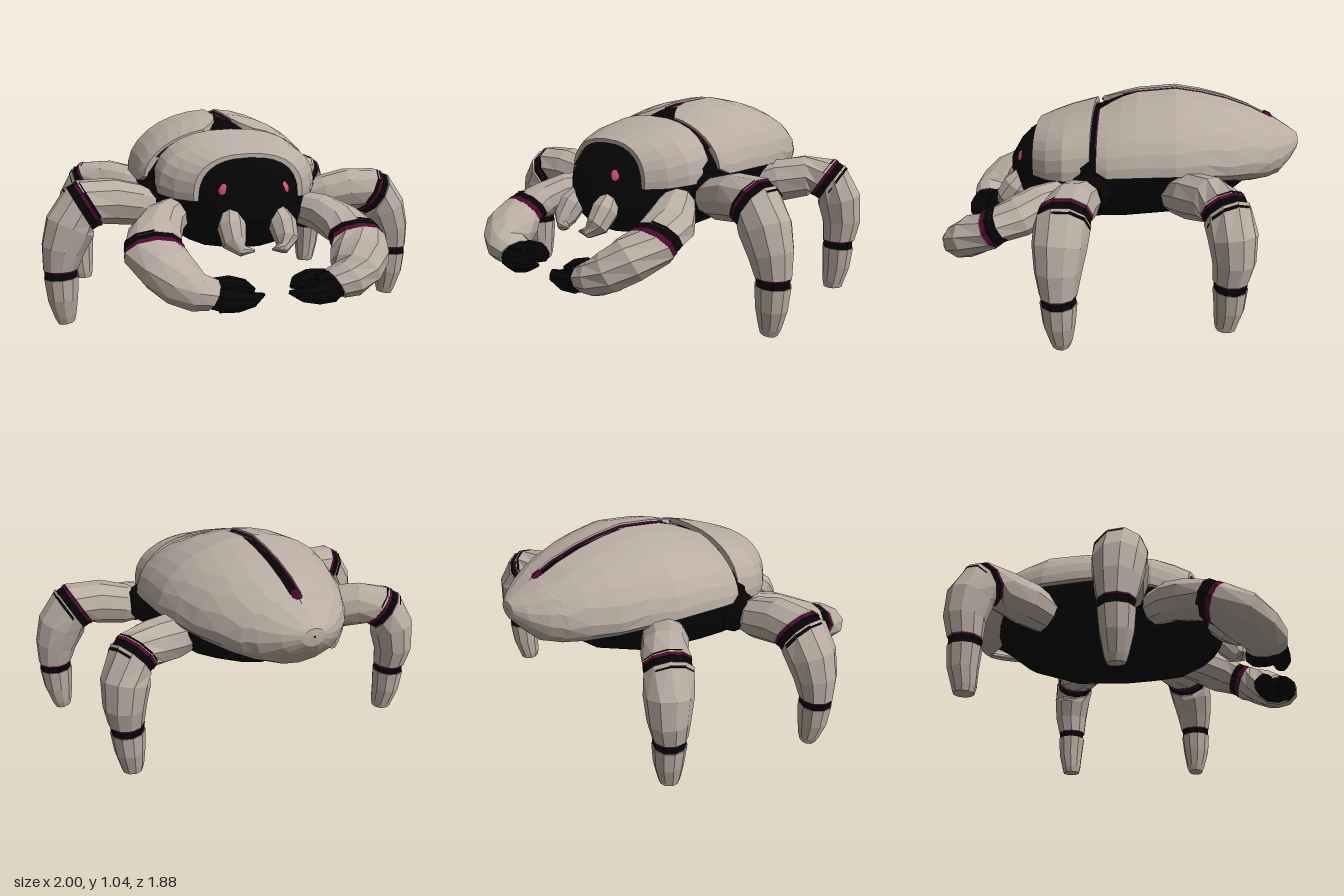
import * as THREE from 'three';

const mat = (name, color) => {
  const m = new THREE.MeshStandardMaterial({ color });
  m.name = name;
  return m;
};
const V = (a) => new THREE.Vector3(...a);

// Faceted solid from rings of equal length, capped at both ends
function loft(rings) {
  const tris = [], n = rings[0].length;
  const quad = (a, b, c, d) => tris.push(a, b, c, a, c, d);
  for (let k = 0; k < rings.length - 1; k++)
    for (let i = 0; i < n; i++) {
      const j = (i + 1) % n;
      quad(rings[k][i], rings[k][j], rings[k + 1][j], rings[k + 1][i]);
    }
  const first = rings[0], last = rings[rings.length - 1];
  for (let i = 0; i < n / 2 - 1; i++) {
    quad(first[i], first[n - 1 - i], first[n - 2 - i], first[i + 1]);
    quad(last[i], last[i + 1], last[n - 2 - i], last[n - 1 - i]);
  }
  // Turn the faces outward if the volume is negative
  let volume = 0;
  for (let i = 0; i < tris.length; i += 3)
    volume += tris[i].dot(tris[i + 1].clone().cross(tris[i + 2]));
  if (volume < 0) tris.reverse();
  const g = new THREE.BufferGeometry().setFromPoints(tris);
  g.computeVertexNormals();
  return g;
}

// Limb along points [x, y, z, radius, second radius]; start and end tilt the cut faces
function limbGeometry(pts, ref, start, end, sides = 10) {
  const p = pts.map((a) => V(a.slice(0, 3))), last = p.length - 1;
  return loft(p.map((c, k) => {
    const t = p[Math.min(k + 1, last)].clone().sub(p[Math.max(k - 1, 0)]);
    if (k === 0 && start) t.copy(V(start));
    if (k === last && end) t.copy(V(end));
    t.normalize();
    const u = V(ref).cross(t).normalize(), v = t.clone().cross(u);
    const [, , , ru, rv = ru] = pts[k];
    return Array.from({ length: sides }, (_, i) => {
      const a = ((i + 0.5) / sides) * Math.PI * 2;
      return c.clone().addScaledVector(u, Math.cos(a) * ru).addScaledVector(v, Math.sin(a) * rv);
    });
  }));
}

// Point of an egg-shaped cross-section, angle measured from the top; pow < 1 squares it off
function eggPoint([z, w, yt, ym, yb], t, s, k, pow) {
  const c = Math.cos(t), f = (v) => Math.sign(v) * Math.abs(v) ** pow;
  return V([s * w * f(Math.sin(t)) * k, ym + (c > 0 ? yt - ym : ym - yb) * f(c) * k, z]);
}

// Half of a curved plate; sections are [z, halfWidth, top, middle, bottom, gap, endDegrees]
function plateGeometry(sections, s, pow = 1, outer = 1, inner = 0.9, steps = 9) {
  return loft(sections.map((sec) => {
    const t0 = Math.asin(sec[5] / sec[1]), t1 = sec[6] * Math.PI / 180;
    const arc = (k) => Array.from({ length: steps }, (_, i) =>
      eggPoint(sec, t0 + (t1 - t0) * i / (steps - 1), s, k, pow));
    return [...arc(outer), ...arc(inner).reverse()];
  }));
}

export function createModel() {
  const root = new THREE.Group();
  const shell = mat('warm grey shell', 0xb9ada2);
  const black = mat('black body', 0x050505);
  const wine = mat('dark wine trim', 0x500830);
  const red = mat('rose eye', 0xd8506a);
  const add = (name, geo, m, parent = root) => {
    const mesh = new THREE.Mesh(geo, m);
    mesh.name = name;
    parent.add(mesh);
    return mesh;
  };

  // Black body and head: [z, halfWidth, top, middle, bottom]
  const body = [
    [-0.79, 0.14, 0.84, 0.72, 0.62], [-0.7, 0.22, 0.9, 0.71, 0.57], [-0.55, 0.36, 0.96, 0.7, 0.45],
    [-0.3, 0.45, 1.005, 0.69, 0.36], [0, 0.46, 0.975, 0.66, 0.33], [0.15, 0.46, 0.91, 0.63, 0.33],
    [0.3, 0.38, 0.865, 0.62, 0.34], [0.45, 0.27, 0.825, 0.61, 0.37], [0.51, 0.225, 0.785, 0.6, 0.41],
    [0.56, 0.165, 0.735, 0.6, 0.46], [0.61, 0.06, 0.65, 0.6, 0.54],
  ];
  add('body', loft(body.map((sec) => Array.from({ length: 22 }, (_, i) =>
    eggPoint(sec, (i + 0.5) / 11 * Math.PI, 1, 1, sec[0] > 0.2 ? 0.8 : 1)))), black);

  // Wing cases, closed at the tail and parted by a groove
  const wing = [
    [-0.947, 0.004, 0.752, 0.748, 0.744, 0, 180], [-0.942, 0.06, 0.785, 0.745, 0.7, 0, 180],
    [-0.9, 0.14, 0.815, 0.73, 0.645, 0, 180],
    [-0.83, 0.225, 0.86, 0.71, 0.57, 0, 180], [-0.795, 0.255, 0.88, 0.71, 0.56, 0.002, 180],
    [-0.77, 0.28, 0.89, 0.705, 0.555, 0.028, 178], [-0.68, 0.34, 0.935, 0.7, 0.55, 0.03, 165],
    [-0.55, 0.405, 0.98, 0.7, 0.56, 0.03, 135], [-0.42, 0.45, 1.01, 0.7, 0.58, 0.03, 108],
    [-0.28, 0.487, 1.03, 0.7, 0.6, 0.03, 95], [-0.08, 0.492, 1.01, 0.69, 0.6, 0.032, 93],
    [0.0, 0.49, 0.99, 0.685, 0.6, 0.05, 93], [0.06, 0.485, 0.97, 0.68, 0.6, 0.09, 92],
    [0.115, 0.465, 0.955, 0.68, 0.6, 0.14, 85],
  ];
  const trim = [0.115, 0.124].map((z) => [z, 0.465, 0.955, 0.68, 0.6, 0.14, 62]);
  const grooveEdge = wing.slice(5, 12).map(([z, , yt, , , gap]) => [gap - 0.003, yt - 0.016, z, 0.007]);
  // Front plate over the head
  const hood = [
    [0.15, 0.425, 0.945, 0.66, 0.55, 0, 98], [0.29, 0.42, 0.905, 0.655, 0.55, 0, 98],
    [0.38, 0.365, 0.875, 0.645, 0.55, 0, 100], [0.46, 0.285, 0.845, 0.64, 0.55, 0, 100],
  ];
  add('grooveTip', limbGeometry([[0, 0.86, -0.797, 0.02], [0, 0.868, -0.78, 0.03],
    [0, 0.885, -0.75, 0.026]], [1, 0, 0]), wine);

  for (const s of [1, -1]) {
    const side = new THREE.Group();
    side.name = s > 0 ? 'leftSide' : 'rightSide';
    root.add(side);
    const flip = (a) => a && [a[0] * s, ...a.slice(1)];
    const limb = (name, pts, m, { ref = [0, 0, 1], start, end, sides } = {}) =>
      add(name, limbGeometry(pts.map(flip), ref, flip(start), flip(end), sides), m, side);
    // Joint: black collar with a wine ring from offset w0 to w1, across direction d
    const joint = (name, p, d, r, w0, w1, rv = r, ref) => {
      const dir = V(d).normalize();
      const at = (k, q) => [...V(p).addScaledVector(dir, k).toArray(), r * q, rv * q];
      limb(name, [at(-0.045, 0.95), at(0.045, 0.96)], black, { ref });
      limb(name + 'Trim', [at(w0, 0.99), at(w1, 0.99)], wine, { ref });
    };

    add('wingCase', plateGeometry(wing, s), shell, side);
    add('wingCaseTrim', plateGeometry(trim, s, 1, 0.965, 0.93), wine, side);
    limb('grooveTrim', grooveEdge, wine, { ref: [1, 0, 0], sides: 6 });
    add('hoodPlate', plateGeometry(hood, s, 0.82), shell, side);

    // Eye and fang
    const eye = add('eye', new THREE.SphereGeometry(0.034, 10, 8), red, side);
    eye.position.set(0.155 * s, 0.68, 0.537);
    eye.scale.set(0.97, 1.08, 0.45);
    eye.lookAt(eye.position.clone().add(V([0.5 * s, 0.3, 0.8])));
    limb('fang', [[0.115, 0.575, 0.53, 0.045], [0.13, 0.51, 0.585, 0.07], [0.13, 0.445, 0.635, 0.06],
      [0.1, 0.41, 0.67, 0.03], [0.045, 0.41, 0.68, 0.006]], shell, { ref: [1, 0, 0], sides: 8 });

    // Middle leg
    const knee = [0.87, -0.49, 0], down = [0, -1, 0];
    limb('middleHip', [[0.36, 0.58, 0.14, 0.12], [0.44, 0.59, 0.14, 0.11], [0.5, 0.59, 0.15, 0.07]], black);
    limb('middleThigh', [[0.44, 0.56, 0.18, 0.08], [0.52, 0.575, 0.19, 0.108], [0.65, 0.6, 0.215, 0.118],
      [0.762, 0.603, 0.23, 0.128]], shell, { end: knee });
    joint('middleKnee', [0.79, 0.585, 0.235], knee, 0.13, -0.031, -0.015);
    limb('middleShin', [[0.81, 0.573, 0.24, 0.132], [0.86, 0.49, 0.25, 0.127], [0.9, 0.38, 0.255, 0.108],
      [0.915, 0.28, 0.255, 0.088]], shell, { start: knee, end: down });
    joint('middleAnkle', [0.915, 0.255, 0.255], down, 0.086, -0.026, -0.018);
    limb('middleFoot', [[0.914, 0.237, 0.255, 0.087], [0.91, 0.13, 0.255, 0.077], [0.9, 0.035, 0.25, 0.055],
      [0.895, 0, 0.25, 0.042]], shell);

    // Back leg
    const backKnee = [0.75, -0.55, -0.35];
    limb('backThigh', [[0.37, 0.56, -0.29, 0.1], [0.47, 0.59, -0.36, 0.118], [0.59, 0.62, -0.45, 0.112],
      [0.672, 0.617, -0.495, 0.115]], shell, { end: backKnee });
    joint('backKnee', [0.695, 0.6, -0.507], backKnee, 0.117, -0.031, -0.015);
    limb('backShin', [[0.71, 0.588, -0.515, 0.12], [0.745, 0.5, -0.54, 0.117], [0.76, 0.38, -0.55, 0.102],
      [0.755, 0.28, -0.54, 0.085]], shell, { start: backKnee, end: down });
    joint('backAnkle', [0.75, 0.255, -0.54], down, 0.083, -0.026, -0.018);
    limb('backFoot', [[0.75, 0.237, -0.54, 0.084], [0.745, 0.13, -0.54, 0.074], [0.735, 0.04, -0.53, 0.058],
      [0.735, 0.01, -0.53, 0.05]], shell);

    // Arm with pincer
    const ref = [0, 1, 0], elbow = [0, -0.5, 0.85], wrist = [-0.85, -0.45, 0];
    limb('upperArm', [[0.35, 0.53, 0.3, 0.09], [0.425, 0.515, 0.4, 0.11, 0.1], [0.485, 0.475, 0.5, 0.132, 0.1],
      [0.51, 0.445, 0.59, 0.14, 0.09]], shell, { ref, end: elbow });
    joint('elbow', [0.513, 0.43, 0.615], elbow, 0.146, 0.004, 0.03, 0.094, ref);
    limb('forearm', [[0.513, 0.413, 0.642, 0.148, 0.096], [0.475, 0.365, 0.735, 0.146, 0.105],
      [0.42, 0.312, 0.8, 0.128, 0.1], [0.365, 0.28, 0.83, 0.11, 0.088], [0.3, 0.262, 0.827, 0.1, 0.074]],
    shell, { ref, start: elbow, end: wrist });
    limb('pincerBase', [[0.32, 0.268, 0.827, 0.085, 0.062], [0.27, 0.255, 0.827, 0.095, 0.07],
      [0.21, 0.255, 0.825, 0.055]], black, { ref, start: wrist });
    limb('outerFinger', [[0.27, 0.25, 0.87, 0.06], [0.19, 0.24, 0.885, 0.05], [0.12, 0.24, 0.88, 0.034],
      [0.06, 0.25, 0.855, 0.008]], black, { ref, sides: 8 });
    limb('innerFinger', [[0.27, 0.265, 0.785, 0.06], [0.19, 0.27, 0.765, 0.054], [0.13, 0.27, 0.78, 0.036],
      [0.09, 0.26, 0.81, 0.01]], black, { ref, sides: 8 });
  }
  return root;
}
